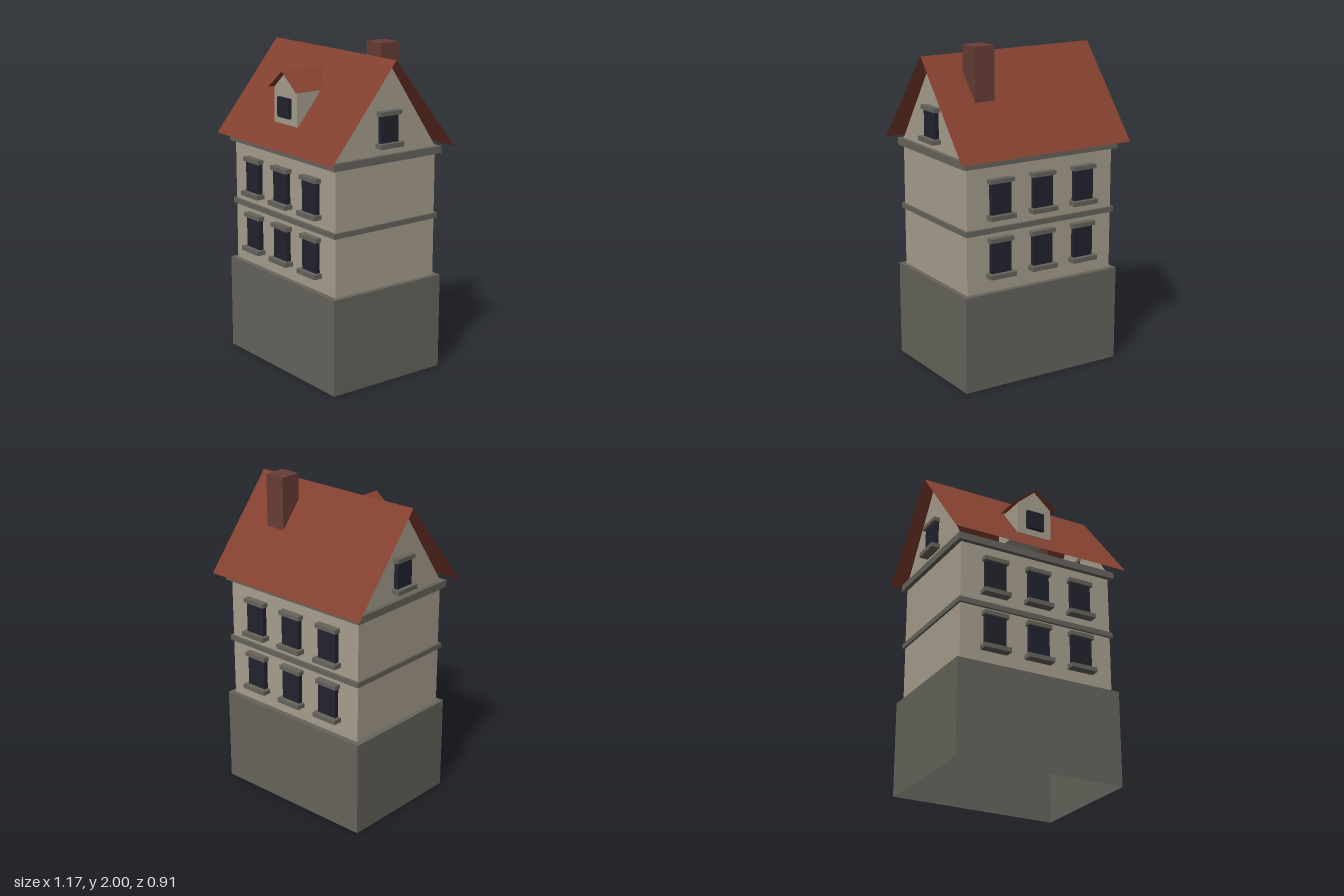
import * as THREE from 'three';

const mat = (name, color, side = THREE.FrontSide) => {
  const m = new THREE.MeshStandardMaterial({ color, side });
  m.name = name;
  return m;
};

export function createModel() {
  const plaster = mat('plaster', 0xa89f8f, THREE.DoubleSide);
  const stone = mat('stone', 0x66645c, THREE.DoubleSide);
  const tile = mat('roof tile', 0x84402f, THREE.DoubleSide);
  const glass = mat('dark glass', 0x22232e);
  const brick = mat('chimney brick', 0x673d35);

  const house = new THREE.Group();
  house.name = 'house';

  const add = (parent, name, geometry, material) => {
    const mesh = new THREE.Mesh(geometry, material);
    mesh.name = name;
    parent.add(mesh);
    return mesh;
  };

  // Box given by its width, its depth and its bottom and top heights
  const block = (parent, name, w, d, y0, y1, material, x = 0, z = 0) => {
    const mesh = add(parent, name, new THREE.BoxGeometry(w, y1 - y0, d), material);
    mesh.position.set(x, (y0 + y1) / 2, z);
    return mesh;
  };

  // Pair of thin slopes meeting at a ridge along z, open underneath
  const slopes = (halfWidth, eaveY, ridgeY, z0, z1) => {
    const g = new THREE.BufferGeometry();
    const p = [];
    for (const s of [1, -1]) {
      const a = [0, ridgeY, z0], b = [0, ridgeY, z1];
      const c = [s * halfWidth, eaveY, z1], d = [s * halfWidth, eaveY, z0];
      p.push(...(s > 0 ? [a, b, c, a, c, d] : [a, c, b, a, d, c]).flat());
    }
    g.setAttribute('position', new THREE.Float32BufferAttribute(p, 3));
    g.computeVertexNormals();
    return g;
  };

  const polygon = (points) => new THREE.Shape(points.map(([x, y]) => new THREE.Vector2(x, y)));

  // Window with sill and lintel, standing out from a wall towards +z
  const makeWindow = (w, h, sillW, lintelW) => {
    const g = new THREE.Group();
    g.name = 'window';
    block(g, 'pane', w, 0.028, 0, h, glass, 0, 0.014);
    block(g, 'sill', sillW, 0.056, -0.028, 0, stone, 0, 0.028);
    block(g, 'lintel', lintelW, 0.041, h, h + 0.026, stone, 0, 0.0205);
    return g;
  };

  // Base, open at the bottom
  const baseGeometry = new THREE.BoxGeometry(1.074, 0.588, 0.804);
  const index = Array.from(baseGeometry.index.array);
  index.splice(18, 6);
  baseGeometry.setIndex(index);
  baseGeometry.clearGroups();
  add(house, 'base', baseGeometry, stone).position.y = 0.294;

  // Walls and stone bands
  block(house, 'walls', 1.014, 0.738, 0.588, 1.345, plaster);
  block(house, 'floorBand', 1.04, 0.77, 0.945, 0.977, stone);
  block(house, 'cornice', 1.066, 0.794, 1.342, 1.386, stone);

  // Two rows of three windows on the front and back
  for (const side of [1, -1]) {
    for (const y of [0.703, 1.055]) {
      for (const x of [-0.289, 0, 0.289]) {
        const w = makeWindow(0.134, 0.187, 0.174, 0.16);
        w.position.set(x, y, side * 0.369);
        w.rotation.y = side > 0 ? 0 : Math.PI;
        house.add(w);
      }
    }
  }

  // Gable walls, each with a window
  for (const side of [1, -1]) {
    const gable = new THREE.Group();
    gable.name = 'gable';
    add(gable, 'gableWall', new THREE.ShapeGeometry(polygon([[-0.369, 1.386], [0.369, 1.386], [0, 1.93]])), plaster);
    const w = makeWindow(0.125, 0.159, 0.168, 0.155);
    w.position.y = 1.459;
    gable.add(w);
    gable.position.x = side * 0.507;
    gable.rotation.y = side * Math.PI / 2;
    house.add(gable);
  }

  // Main roof
  add(house, 'roof', slopes(0.453, 1.386, 1.938, -0.585, 0.585), tile).rotation.y = Math.PI / 2;

  // Dormer on the front slope
  const dormer = new THREE.Group();
  dormer.name = 'dormer';
  const body = polygon([[-0.114, 1.52], [0.114, 1.52], [0.114, 1.727], [0, 1.828], [-0.114, 1.727]]);
  const bodyGeometry = new THREE.ExtrudeGeometry(body, { depth: 0.24, bevelEnabled: false });
  add(dormer, 'dormerWalls', bodyGeometry, plaster).position.z = 0.109;
  add(dormer, 'dormerRoof', slopes(0.14, 1.727, 1.835, 0.08, 0.375), tile);
  block(dormer, 'dormerPane', 0.115, 0.02, 1.561, 1.68, glass, 0, 0.359);
  house.add(dormer);

  // Chimney on the back slope
  block(house, 'chimney', 0.132, 0.134, 1.655, 2, brick, 0.286, -0.145);

  return house;
}
